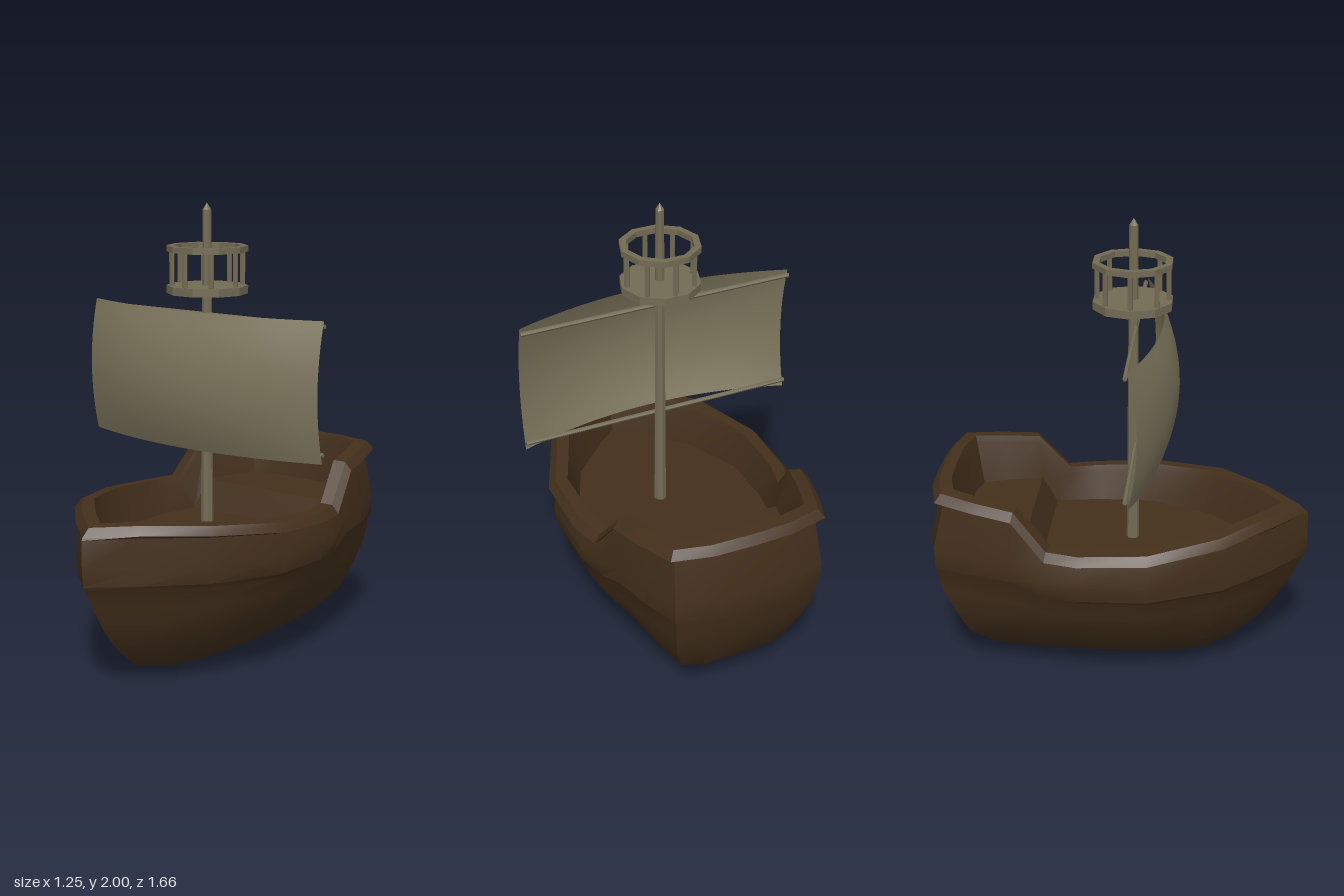
import * as THREE from 'three';
import { toCreasedNormals } from 'three/addons/utils/BufferGeometryUtils.js';

const WOOD = new THREE.MeshStandardMaterial({ color: 0x432f1b });
const SPAR = new THREE.MeshStandardMaterial({ color: 0x726b54, flatShading: true });
const CANVAS = new THREE.MeshStandardMaterial({ color: 0x7c755c, side: THREE.DoubleSide });
const MAST_Z = 0.05;

// Half plan of the rail, bow to stern: [z, half width, rail height, deck height]
const PLAN = [
  [0.825, 0, 0.73, 0.53], [0.67, 0.185, 0.737, 0.53], [0.46, 0.39, 0.727, 0.53],
  [0.15, 0.525, 0.70, 0.53], [-0.15, 0.525, 0.685, 0.53], [-0.29, 0.49, 0.685, 0.53],
  [-0.43, 0.46, 0.85, 0.66], [-0.6, 0.418, 0.866, 0.66], [-0.77, 0.355, 0.88, 0.66],
  [-0.81, 0.18, 0.88, 0.66], [-0.815, 0, 0.88, 0.66],
];
// Hull levels: [y, half width, bow z, stern z, share of the sheer, roundness of the ends]
const LEVELS = [
  [0.004, 0, 0, -0.2, 0, 1], [0.022, 0.08, 0.3, -0.44, 0, 1], [0.055, 0.182, 0.5, -0.58, 0, 1],
  [0.16, 0.318, 0.625, -0.69, 0, 0.7], [0.27, 0.405, 0.71, -0.75, 0.1, 0.4],
  [0.37, 0.458, 0.77, -0.8, 0.2, 0.2], [0.45, 0.48, 0.81, -0.82, 0.3, 0.1],
  [0.47, 0.495, 0.825, -0.825, 0.3, 0.1], [0.54, 0.505, 0.83, -0.83, 0.4, 0],
  [0.64, 0.48, 0.828, -0.78, 1, 0],
];
// Rail and inner wall: [inset from the plan, drop below the rail height]
const RAIL = [[0, 0.04], [0.03, 0.004], [0.085, 0], [0.095, 0.03]];

function named(name, geometry, material, x = 0, y = 0, z = 0) {
  const mesh = new THREE.Mesh(geometry, material);
  mesh.name = name;
  mesh.position.set(x, y, z);
  return mesh;
}

// Skin a list of closed rows of points
function skin(rows) {
  const n = rows[0].length;
  const index = [];
  for (let j = 0; j < rows.length - 1; j++) {
    for (let i = 0; i < n; i++) {
      const a = j * n + i, b = j * n + ((i + 1) % n);
      index.push(a, b, b + n, a, b + n, a + n);
    }
  }
  const geometry = new THREE.BufferGeometry();
  geometry.setAttribute('position', new THREE.Float32BufferAttribute(rows.flat(2), 3));
  geometry.setIndex(index);
  return toCreasedNormals(geometry, 0.5);
}

function hullRows() {
  // Full plan: down the left side, back up the right side
  const ring = [
    ...PLAN.map(([z, w, top, deck]) => ({ x: w, z, top, deck })),
    ...PLAN.slice(1, -1).reverse().map(([z, w, top, deck]) => ({ x: -w, z, top, deck })),
  ];
  const n = ring.length;
  const edgeNormal = (a, b) => new THREE.Vector2(a.z - b.z, b.x - a.x).normalize();
  const miters = ring.map((p, i) => {
    const before = edgeNormal(ring[(i + n - 1) % n], p);
    const after = edgeNormal(p, ring[(i + 1) % n]);
    const scale = 1 / (1 + before.dot(after));
    return before.add(after).multiplyScalar(scale);
  });
  const inset = (i, d) => [ring[i].x - miters[i].x * d, ring[i].z - miters[i].y * d];

  const outer = LEVELS.map(([y, w, bow, stern, sheer, round]) => ring.map((p) => [
    Math.sign(p.x) * w * Math.abs(p.x / 0.525) ** (1 - 0.5 * round),
    y + sheer * (p.top - 0.69),
    THREE.MathUtils.mapLinear(p.z, -0.815, 0.825, stern, bow),
  ]));
  const rail = RAIL.map(([d, drop]) => ring.map((p, i) => {
    const [x, z] = inset(i, d);
    // The rail is narrower across the stern
    return [x, p.top - drop, d > 0.05 ? Math.max(z, -0.76) : z];
  }));
  // The deck steps up steeply between two of the plan points
  const edge = ring.map((p, i) => {
    const [x, z] = inset(i, 0.132);
    const deckZ = p.z === -0.29 ? -0.33 : p.z === -0.43 ? -0.395 : Math.max(z, -0.71);
    return [x, p.deck, deckZ];
  });
  const centre = edge.map(([, y, z]) => [0, y, z]);
  return { shell: [...outer, ...rail, edge], deck: [edge, centre] };
}

// Rectangular sail that bellies forward in both directions
function sailGeometry() {
  const geometry = new THREE.PlaneGeometry(1.25, 0.595, 20, 12);
  const pos = geometry.attributes.position;
  for (let i = 0; i < pos.count; i++) {
    const across = 1 - (pos.getX(i) / 0.625) ** 2;
    const up = 1 - (pos.getY(i) / 0.2975) ** 2;
    pos.setZ(i, 0.07 + 0.11 * across + up * (0.04 + 0.03 * across));
  }
  geometry.computeVertexNormals();
  return geometry;
}

function crowsNest() {
  const nest = new THREE.Group();
  nest.name = 'crowsNest';
  const sides = 10, radius = 0.175, posts = 8;
  nest.add(named('nestFloor', new THREE.CylinderGeometry(radius, radius, 0.035, sides), SPAR, 0, 1.632, 0));
  // Flat ten-sided hand rail with a square section
  const section = [[0.145, -0.013], [radius, -0.013], [radius, 0.013], [0.145, 0.013], [0.145, -0.013]];
  const rim = new THREE.LatheGeometry(section.map(([x, y]) => new THREE.Vector2(x, y)), sides);
  nest.add(named('nestRail', rim, SPAR, 0, 1.806, 0));
  const post = new THREE.CylinderGeometry(0.012, 0.012, 0.16, 6);
  for (let i = 0; i < posts; i++) {
    const a = (i / posts) * Math.PI * 2;
    nest.add(named('nestPost', post, SPAR, Math.sin(a) * 0.152, 1.72, Math.cos(a) * 0.152));
  }
  nest.rotation.y = Math.PI / 2;
  nest.position.z = MAST_Z - 0.003;
  return nest;
}

export function createModel() {
  const model = new THREE.Group();
  model.name = 'sailingShip';

  // Hull with rail and decks
  const { shell, deck } = hullRows();
  const hull = new THREE.Group();
  hull.name = 'hull';
  hull.position.x = -0.023;
  hull.add(named('hullShell', skin(shell), WOOD), named('deck', skin(deck), WOOD));
  model.add(hull);

  // Mast with pointed cap
  model.add(named('mast', new THREE.CylinderGeometry(0.019, 0.028, 1.46, 8), SPAR, 0, 1.24, MAST_Z));
  model.add(named('mastCap', new THREE.ConeGeometry(0.019, 0.03, 8), SPAR, 0, 1.985, MAST_Z));

  // Sail hung between two yards
  model.add(named('sail', sailGeometry(), CANVAS, 0, 1.2505, 0));
  for (const y of [1.525, 0.99]) {
    const yard = named('yard', new THREE.CylinderGeometry(0.01, 0.01, 1.25, 6), SPAR, 0, y, 0.062);
    yard.rotation.z = Math.PI / 2;
    model.add(yard);
  }

  model.add(crowsNest());
  return model;
}
